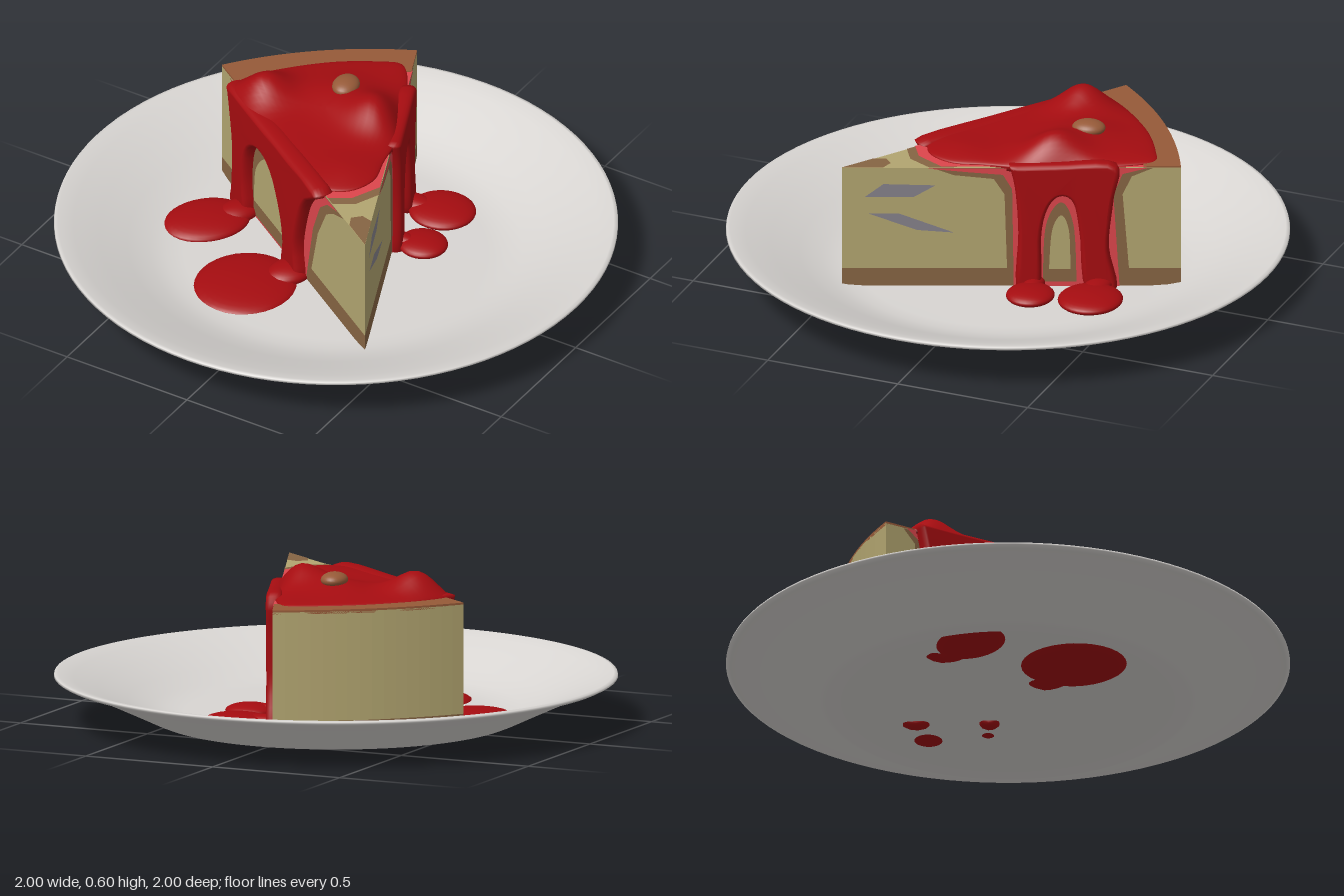
import * as THREE from 'three';
import { mergeVertices } from 'three/addons/utils/BufferGeometryUtils.js';

const mat = (name, color) => Object.assign(new THREE.MeshStandardMaterial({ color }), { name });
const V2 = (p) => new THREE.Vector2(p[0], p[1]);

export function createModel() {
  const model = new THREE.Group();
  model.name = 'cakeOnPlate';
  const china = mat('china', 0xd8d5d2), tan = mat('filling', 0xb2a570), brown = mat('bakedBrown', 0x866443);
  const crust = mat('crust', 0x965a38), red = mat('sauce', 0xa50c10), pink = mat('sauceStain', 0xdc454c);
  const grey = mat('greyPatch', 0x85818a);

  const add = (name, geometry, material, parent = model) => {
    const mesh = new THREE.Mesh(geometry, material);
    mesh.name = name;
    parent.add(mesh);
    return mesh;
  };
  const smooth = (geometry) => {
    geometry.deleteAttribute('uv');
    geometry.deleteAttribute('normal');
    const g = mergeVertices(geometry, 1e-4);
    g.computeVertexNormals();
    return g;
  };

  // Plate: foot, flared underside, rim and shallow well
  const plate = [[0, 0.028], [0.58, 0.028], [0.6, 0.016], [0.64, 0.016], [0.67, 0.028], [0.75, 0.066], [0.84, 0.108],
    [0.92, 0.143], [0.985, 0.162], [1, 0.17], [0.998, 0.178], [0.985, 0.181], [0.93, 0.164], [0.84, 0.13],
    [0.74, 0.088], [0.66, 0.058], [0.6, 0.046], [0.54, 0.041], [0, 0.04]];
  add('plate', new THREE.LatheGeometry(plate.map(V2), 96), china);

  // Wedge corners in x and z
  const tip = [0.41, 0.465], backLeft = [-0.6, -0.2], backRight = [-0.06, -0.64], bulge = [-0.39, -0.48];
  const inner = (p, k) => [tip[0] + (p[0] - tip[0]) * k, tip[1] + (p[1] - tip[1]) * k];
  const wedge = () => {
    const s = new THREE.Shape();
    s.moveTo(tip[0], -tip[1]);
    s.lineTo(backRight[0], -backRight[1]);
    s.quadraticCurveTo(bulge[0], -bulge[1], backLeft[0], -backLeft[1]);
    s.closePath();
    return s;
  };
  const slab = (name, y, height, material) => {
    const g = new THREE.ExtrudeGeometry(wedge(), { depth: height, bevelEnabled: false, curveSegments: 16 });
    add(name, g.rotateX(-Math.PI / 2).translate(0, y, 0), material);
  };
  slab('crustBase', 0.036, 0.074, brown);
  slab('cakeFilling', 0.11, 0.393, tan);

  // Crust strip along the back of the top
  const strip = wedge();
  strip.curves.length = 0;
  const [il, ir, ib] = [backLeft, backRight, bulge].map((p) => inner(p, 0.89));
  strip.moveTo(backRight[0], -backRight[1]);
  strip.quadraticCurveTo(bulge[0], -bulge[1], backLeft[0], -backLeft[1]);
  strip.lineTo(il[0], -il[1]);
  strip.quadraticCurveTo(ib[0], -ib[1], ir[0], -ir[1]);
  strip.closePath();
  add('backCrust', new THREE.ExtrudeGeometry(strip, { depth: 0.014, bevelEnabled: false, curveSegments: 16 })
    .rotateX(-Math.PI / 2).translate(0, 0.496, 0), crust);

  // Stains on the top
  const topPlate = (name, y, points, material) => add(name,
    new THREE.ShapeGeometry(new THREE.Shape(points.map(([x, z]) => new THREE.Vector2(x, -z))))
      .rotateX(-Math.PI / 2).translate(0, y, 0), material);
  topPlate('topBrownEdge', 0.505, [[0.05, 0.228], [0.18, 0.313], [0.25, 0.27], [0.29, 0.18], [0.25, 0.09]], brown);
  topPlate('topStain', 0.507, [[-0.5, -0.135], [0.15, 0.294], [0.22, 0.25], [0.27, 0.14], [-0.01, -0.53]], pink);
  topPlate('tipSpot', 0.505, [[0.3, 0.392], [0.28, 0.35], [0.31, 0.32], [0.353, 0.33], [0.41, 0.465]], brown);

  // Side frames: outlines use the world x (or z) along the cut and the height y
  const side = (name, from, to, axis) => {
    const group = new THREE.Group();
    group.name = name;
    const u = new THREE.Vector3(to[0] - from[0], 0, to[1] - from[1]);
    const length = u.length();
    u.normalize();
    const up = new THREE.Vector3(0, 1, 0);
    group.applyMatrix4(new THREE.Matrix4().makeBasis(u, up, u.clone().cross(up)).setPosition(from[0], 0, from[1]));
    model.add(group);
    const map = (pts) => pts.map(([a, y]) => new THREE.Vector2((a - from[axis]) / (to[axis] - from[axis]) * length, y));
    return {
      paint(label, offset, pts, material, round = false) {
        const s = new THREE.Shape();
        const p = map(pts);
        s.moveTo(p[0].x, p[0].y);
        if (round) s.splineThru(p.slice(1)); else p.slice(1).forEach((q) => s.lineTo(q.x, q.y));
        add(label, new THREE.ShapeGeometry(s).translate(0, 0, offset), material, group);
      },
      drip(label, depth, pts) {
        const p = new THREE.SplineCurve([...map(pts), map(pts)[0]]).getPoints(72).slice(0, -1);
        const g = new THREE.ExtrudeGeometry(new THREE.Shape(p), { depth: depth * 0.3, bevelEnabled: true,
          bevelThickness: depth * 0.7, bevelSize: 0.016, bevelOffset: -0.016, bevelSegments: 4 });
        add(label, smooth(g), red, group);
      },
    };
  };

  // Left cut: stain, arch and double drip
  const left = side('leftCut', backLeft, tip, 0);
  left.paint('brownHalo', 0.002, [[-0.54, 0.5], [-0.5, 0.45], [-0.49, 0.05], [0.02, 0.05], [0.08, 0.3], [0.14, 0.43], [0.19, 0.47], [0.26, 0.503]], brown);
  left.paint('pinkHalo', 0.004, [[-0.53, 0.503], [-0.48, 0.46], [-0.47, 0.04], [0, 0.04], [0.05, 0.3], [0.1, 0.43], [0.15, 0.48], [0.22, 0.503]], pink);
  left.paint('brownArch', 0.006, [[-0.41, 0.05], [-0.4, 0.3], [-0.27, 0.43], [-0.15, 0.35], [-0.07, 0.05]], brown, true);
  left.paint('tanArch', 0.008, [[-0.36, 0.11], [-0.345, 0.26], [-0.26, 0.355], [-0.18, 0.27], [-0.15, 0.11]], tan, true);
  left.drip('leftDrips', 0.045, [[-0.5, 0.52], [-0.48, 0.42], [-0.46, 0.28], [-0.465, 0.12], [-0.47, 0.035], [-0.37, 0.035],
    [-0.375, 0.2], [-0.35, 0.34], [-0.27, 0.4], [-0.19, 0.37], [-0.13, 0.26], [-0.105, 0.15], [-0.11, 0.035],
    [-0.005, 0.035], [-0.015, 0.18], [0.02, 0.34], [0.06, 0.43], [0.13, 0.52], [-0.15, 0.525]]);

  // Right cut
  const right = side('rightCut', tip, backRight, 1);
  right.paint('brownHalo', 0.002, [[0.17, 0.503], [0.1, 0.475], [-0.03, 0.46], [-0.065, 0.4], [-0.075, 0.05], [-0.475, 0.05], [-0.45, 0.4], [-0.48, 0.47], [-0.55, 0.503]], brown);
  right.paint('pinkHalo', 0.004, [[0.2, 0.503], [0.05, 0.487], [-0.06, 0.477], [-0.09, 0.42], [-0.095, 0.04], [-0.44, 0.04], [-0.42, 0.4], [-0.45, 0.48], [-0.53, 0.503]], pink);
  right.paint('brownArch', 0.006, [[-0.19, 0.06], [-0.2, 0.28], [-0.25, 0.37], [-0.29, 0.28], [-0.3, 0.06]], brown, true);
  right.paint('tanArch', 0.008, [[-0.21, 0.11], [-0.22, 0.26], [-0.25, 0.32], [-0.275, 0.26], [-0.28, 0.11]], tan, true);
  right.paint('upperPatch', 0.002, [[0.39, 0.39], [0.33, 0.44], [0.16, 0.435], [0.23, 0.39]], grey);
  right.paint('lowerPatch', 0.002, [[0.38, 0.325], [0.28, 0.325], [0.1, 0.25], [0.22, 0.26]], grey);
  right.drip('rightDrips', 0.035, [[-0.08, 0.52], [-0.1, 0.42], [-0.11, 0.25], [-0.105, 0.035], [-0.18, 0.035], [-0.185, 0.25],
    [-0.21, 0.36], [-0.25, 0.4], [-0.29, 0.37], [-0.31, 0.25], [-0.33, 0.035], [-0.43, 0.035], [-0.405, 0.2],
    [-0.42, 0.38], [-0.43, 0.52], [-0.25, 0.525]]);

  // Sauce on top: rings inside an outline, raised by soft bumps
  const outline = new THREE.CatmullRomCurve3([[-0.06, -0.54], [0.03, -0.43], [0.09, -0.29], [0.17, -0.13], [0.2, 0],
    [0.23, 0.12], [0.19, 0.22], [0.1, 0.26], [0, 0.225], [-0.2, 0.095], [-0.42, -0.035], [-0.5, -0.11],
    [-0.46, -0.22], [-0.29, -0.41], [-0.14, -0.51]].map(([x, z]) => new THREE.Vector3(x, 0, z)), true).getPoints(96).slice(0, -1);
  const bumps = [[-0.38, -0.13, 0.075, 0.1], [0.05, -0.2, 0.076, 0.11], [-0.13, -0.24, 0.035, 0.13], [0.13, 0.13, 0.012, 0.1]];
  const rings = [...Array.from({ length: 16 }, (_, i) => Math.sin((i + 0.3) / 15.3 * Math.PI / 2)), 1, 0.85];
  const n = outline.length, pos = [], index = [];
  rings.forEach((s, r) => outline.forEach((p) => {
    const x = -0.13 + (p.x + 0.13) * s, z = -0.13 + (p.z + 0.13) * s;
    let y = 0.508 + 0.016 * Math.sqrt(Math.max(0, 1 - s ** 6));
    for (const [bx, bz, h, w] of bumps) y += h * Math.exp(-((x - bx) ** 2 + (z - bz) ** 2) / (w * w)) * (1 - s ** 8);
    pos.push(x, r < 16 ? y : 0.492, z);
  }));
  for (let r = 0; r < rings.length - 1; r++) {
    for (let i = 0; i < n; i++) {
      const a = r * n + i, b = r * n + (i + 1) % n;
      index.push(a, b + n, a + n, a, b, b + n);
    }
  }
  for (let i = 1; i < n - 1; i++) index.push(0, i + 1, i);
  const sauce = new THREE.BufferGeometry();
  sauce.setAttribute('position', new THREE.Float32BufferAttribute(pos, 3));
  sauce.setIndex(index);
  sauce.computeVertexNormals();
  add('topSauce', sauce, red);

  // Flattened drops: sauce pools, the necks feeding them and a nut
  const drop = (name, [x, y, z], [rx, ry, rz], turn, material) => {
    const m = add(name, new THREE.SphereGeometry(1, 32, 16), material);
    m.position.set(x, y, z);
    m.scale.set(rx, ry, rz);
    m.rotation.y = turn;
  };
  drop('leftPool', [-0.49, 0.043, 0.08], [0.125, 0.036, 0.16], -0.6, red);
  drop('leftNeck', [-0.42, 0.05, -0.02], [0.06, 0.035, 0.09], -0.4, red);
  drop('frontPool', [-0.17, 0.036, 0.335], [0.182, 0.036, 0.195], 0, red);
  drop('frontNeck', [-0.07, 0.05, 0.2], [0.07, 0.035, 0.09], -0.4, red);
  drop('backPool', [0.195, 0.055, -0.4], [0.122, 0.03, 0.115], 0, red);
  drop('backNeck', [0.09, 0.06, -0.385], [0.09, 0.025, 0.045], 0, red);
  drop('sidePool', [0.245, 0.055, -0.19], [0.09, 0.028, 0.086], 0, red);
  drop('sideNeck', [0.17, 0.058, -0.17], [0.07, 0.025, 0.035], 0, red);
  drop('nut', [-0.12, 0.565, -0.26], [0.048, 0.028, 0.06], 0.2, crust);
  return model;
}
